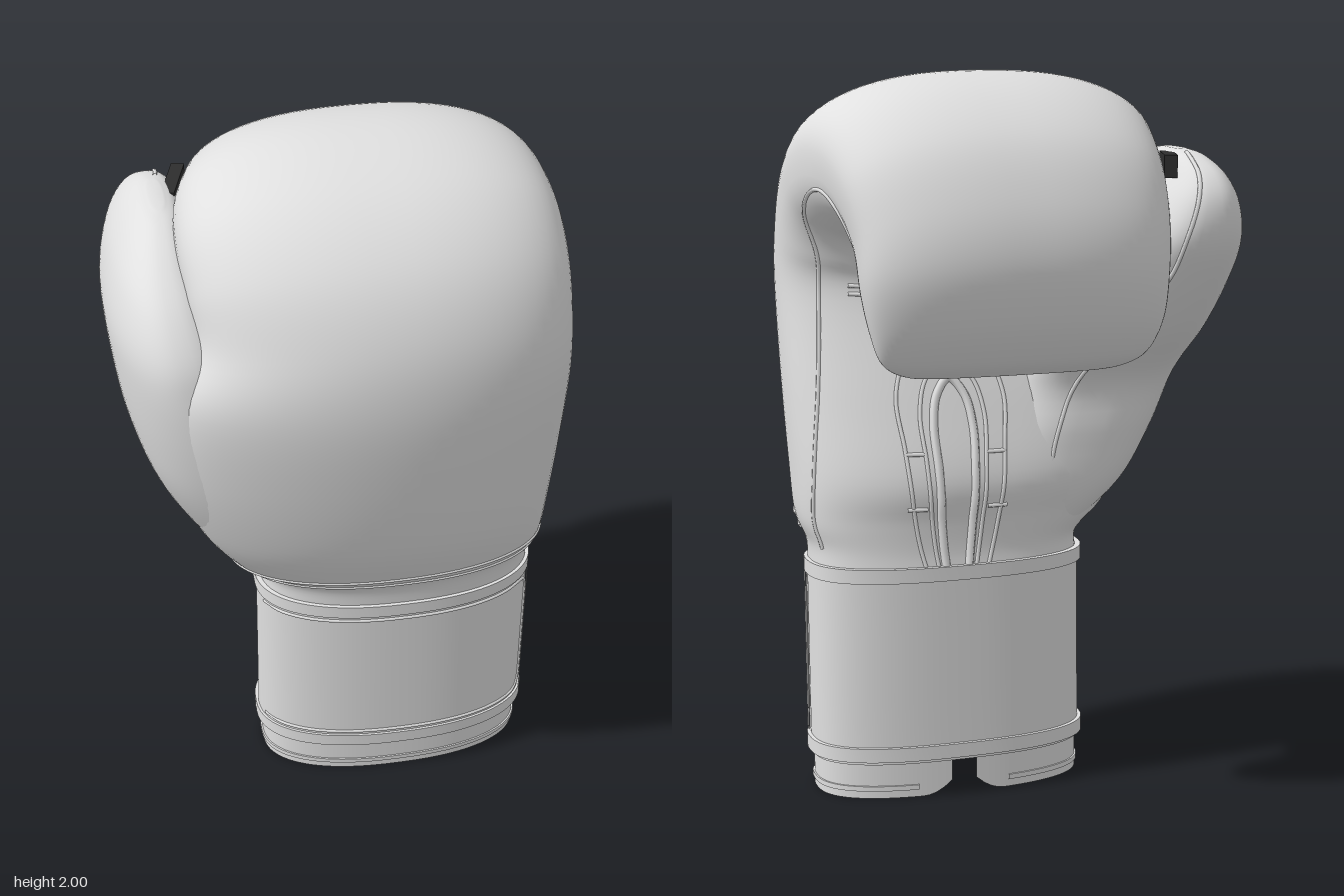
import * as THREE from 'three';
import { toCreasedNormals } from 'three/addons/utils/BufferGeometryUtils.js';

const leather = new THREE.MeshStandardMaterial({ color: 0xe0e0e0, side: THREE.DoubleSide });
leather.name = 'light grey leather';
const dark = new THREE.MeshStandardMaterial({ color: 0x2e2e2e });
dark.name = 'dark webbing';

// Squareness of a section: rounder over the back of the hand, squarer elsewhere
const N_IN = 2.6;
const nOut = s => 2.4 - 1.2 * Math.max(0, s[0] - 0.2);

// A station is [outerZ, outerY, innerZ, innerY, xRightSide, xLeftSide]; t runs 0..1 along the stations
function sampler(st) {
  const a = new THREE.CatmullRomCurve3(st.map(s => new THREE.Vector3(s[0], s[1], s[2])), false, 'catmullrom');
  const b = new THREE.CatmullRomCurve3(st.map(s => new THREE.Vector3(s[3], s[4], s[5])), false, 'catmullrom');
  return t => {
    const p = a.getPoint(t), q = b.getPoint(t);
    return [p.x, p.y, p.z, q.x, q.y, q.z];
  };
}

// Point of a section: u across x, v towards the outer (+) or inner (-) edge
function sectionPoint([oz, oy, iz, iy, xl, xr], u, v) {
  return new THREE.Vector3(
    (xl + xr) / 2 + u * (xr - xl) / 2,
    (oy + iy) / 2 + v * (oy - iy) / 2,
    (oz + iz) / 2 + v * (oz - iz) / 2);
}

// Skin of rounded sections, optionally only over the angles a0..a1
function loft(st, rows, { a0 = 0, a1 = Math.PI * 2, cols = 72, capStart = false, capEnd = false } = {}) {
  const at = sampler(st), pos = [], idx = [], w = cols + 1;
  const closed = a1 - a0 > 6.283;
  for (let i = 0; i <= rows; i++) {
    const s = at(i / rows);
    for (let j = 0; j <= cols; j++) {
      const a = a0 + (a1 - a0) * j / cols, c = Math.cos(a), d = Math.sin(a);
      const e = 2 / (d >= 0 ? nOut(s) : N_IN);
      const p = sectionPoint(s, Math.sign(c) * Math.abs(c) ** e, Math.sign(d) * Math.abs(d) ** e);
      pos.push(p.x, p.y, p.z);
    }
  }
  const id = (i, j) => i * w + (closed ? j % cols : j);
  for (let i = 0; i < rows; i++) for (let j = 0; j < cols; j++) {
    idx.push(id(i, j), id(i + 1, j), id(i + 1, j + 1), id(i, j), id(i + 1, j + 1), id(i, j + 1));
  }
  const cap = (row, flip) => {
    const c = sectionPoint(at(row / rows), 0, 0), k = pos.length / 3;
    pos.push(c.x, c.y, c.z);
    for (let j = 0; j < cols; j++) {
      idx.push(k, ...(flip ? [id(row, j), id(row, j + 1)] : [id(row, j + 1), id(row, j)]));
    }
  };
  if (capStart) cap(0, true);
  if (capEnd) cap(rows, false);
  const g = new THREE.BufferGeometry();
  g.setAttribute('position', new THREE.Float32BufferAttribute(pos, 3));
  g.setIndex(idx);
  g.computeVertexNormals();
  return g;
}

// Wrist sleeve section at height y, enlarged by off
function cuffAt(y, off = 0) {
  const k = y / 0.66;
  return [0.262 + 0.03 * k + off, y, -0.12 - off, y, -0.225 - off, 0.552 + off];
}

const BODY = [
  [0.288, 0.64, -0.115, 0.64, -0.22, 0.55],
  [0.30, 0.72, -0.108, 0.70, -0.225, 0.552],
  [0.345, 0.79, -0.11, 0.78, -0.31, 0.578],
  [0.42, 0.95, -0.12, 0.90, -0.40, 0.585],
  [0.475, 1.20, -0.06, 1.10, -0.47, 0.59],
  [0.50, 1.45, 0.04, 1.38, -0.47, 0.59],
  [0.47, 1.65, 0.03, 1.47, -0.40, 0.59],
  [0.38, 1.82, 0.0, 1.52, -0.405, 0.59],
  [0.22, 1.945, -0.05, 1.535, -0.415, 0.587],
  [0.0, 2.0, -0.09, 1.54, -0.405, 0.575],
  [-0.2, 1.965, -0.13, 1.545, -0.37, 0.555],
  [-0.37, 1.85, -0.165, 1.53, -0.35, 0.535],
  [-0.465, 1.69, -0.185, 1.48, -0.34, 0.515],
  [-0.497, 1.53, -0.20, 1.40, -0.33, 0.505],
  [-0.465, 1.38, -0.215, 1.32, -0.32, 0.48],
  [-0.40, 1.27, -0.235, 1.26, -0.285, 0.445],
  [-0.34, 1.225, -0.255, 1.228, -0.22, 0.38],
  [-0.30, 1.215, -0.285, 1.215, -0.12, 0.28],
];

// Thumb rows: [y, xOuter, xInner, zBack, zFront]
const THUMB = [
  [0.72, -0.20, 0.05, -0.06, 0.20],
  [0.85, -0.35, 0.05, -0.10, 0.28],
  [1.00, -0.45, 0.05, -0.105, 0.34],
  [1.15, -0.52, 0.00, -0.11, 0.37],
  [1.30, -0.57, -0.10, -0.245, 0.375],
  [1.45, -0.595, -0.21, -0.35, 0.36],
  [1.56, -0.60, -0.25, -0.405, 0.33],
  [1.66, -0.575, -0.31, -0.405, 0.25],
  [1.73, -0.535, -0.36, -0.36, 0.14],
  [1.775, -0.49, -0.39, -0.28, 0.02],
  [1.79, -0.455, -0.42, -0.21, -0.07],
].map(([y, xo, xi, zb, zf]) => [zf, y, zb, y, xo, xi]);

const CUFF = [0, 0.22, 0.44, 0.66].map(y => cuffAt(y, 0.004));

export function createModel() {
  const model = new THREE.Group();
  const add = (name, geo, mat = leather) => {
    const m = new THREE.Mesh(geo, mat);
    m.name = name;
    model.add(m);
    return m;
  };

  // Padded hand, curling over into the fist, and the thumb
  add('paddedFist', loft(BODY, 110, { capEnd: true }));
  add('thumb', loft(THUMB, 50, { capStart: true, capEnd: true }));

  // Raised seams lying on a lofted skin: points are [station, u], side +1 outer, -1 inner
  const seam = (name, st, pts, side = -1, r = 0.006) => {
    const at = sampler(st);
    const curve = new THREE.CatmullRomCurve3(pts.map(([s, u]) => {
      const q = at(s / (st.length - 1)), n = side > 0 ? nOut(q) : N_IN;
      return sectionPoint(q, u, side * (1 - Math.abs(u) ** n) ** (1 / n));
    }));
    add(name, new THREE.TubeGeometry(curve, pts.length * 6, r, 6));
  };
  const line = (n, f) => Array.from({ length: n + 1 }, (_, i) => f(i / n));
  const smooth = (pts, n) => new THREE.CatmullRomCurve3(pts.map(([s, u]) => new THREE.Vector3(s, u, 0)))
    .getPoints(n).map(p => [p.x, p.y]);

  // Grip edge seam: up one side, across the finger tips and back down the other
  const edge = smooth([[1, 0.95], [3, 0.93], [5, 0.84], [6, 0.84], [7.5, 0.93],
    [9.5, 0.983], [11.5, 0.95], [13.5, 0.86], [15, 0.78]], 44);
  seam('gripSeam', BODY, [
    ...edge, [15.7, 0.6], [15.9, 0], [15.7, -0.6],
    ...edge.filter(([s]) => s > 6).reverse().map(([s, u]) => [s, -u]),
  ]);
  // Double stitch where the wrist flares into the back of the hand
  for (const s of [1.6, 2]) seam('wristStitch', BODY, line(24, k => [s, -Math.cos(k * Math.PI)]), 1, 0.005);

  // Palm: keyhole lacing opening with its binding, rungs and grip bar, placed by x
  const handAt = sampler(BODY);
  const palmSeam = (name, pts, r) => seam(name, BODY, pts.map(([s, x]) => {
    const q = handAt(s / (BODY.length - 1));
    return [s, (2 * x - q[4] - q[5]) / (q[5] - q[4])];
  }), -1, r);
  const mid = 0.18;
  const arch = (w, top) => [
    ...line(6, k => [0.3 + k * (top - 0.8), mid - w * (0.6 + 0.4 * k)]),
    [top - 0.15, mid - w * 0.7], [top, mid], [top - 0.15, mid + w * 0.7],
    ...line(6, k => [0.3 + (1 - k) * (top - 0.8), mid + w * (1 - 0.4 * k)]),
  ];
  palmSeam('keyholeBinding', arch(0.055, 4.25), 0.012);
  palmSeam('laceInnerSeam', arch(0.09, 4.4));
  palmSeam('laceOuterSeam', arch(0.15, 4.6));
  for (const s of [2.4, 3.4]) for (const m of [-1, 1]) {
    palmSeam('laceRung', line(4, k => [s, mid + m * (0.085 + 0.055 * k)]));
  }
  for (const s of [5.05, 5.2]) palmSeam('gripBar', line(10, k => [s, -0.05 + 0.48 * k]));
  seam('thumbSeam', THUMB, line(20, k => [1 + k * 8.5, 0.35]));

  // Wrist sleeve and its raised bindings
  const cuffPart = (name, st, opts) => add(name, toCreasedNormals(loft(st, st.length - 1, opts), 0.6));
  const band = (name, y0, y1, off, opts, inner = -0.006) => cuffPart(name,
    [cuffAt(y0, inner), cuffAt(y0, off), cuffAt(y1, off), cuffAt(y1, inner)], opts);
  cuffPart('wristSleeve', [cuffAt(0.1), cuffAt(0.28), cuffAt(0.46), cuffAt(0.64)]);
  band('upperBinding', 0.62, 0.66, 0.009);
  band('lowerBinding', 0.11, 0.15, 0.011);

  // Closure strap on the front, ending in a rounded binding on the side
  band('closureStrap', 0.14, 0.63, 0.004, { a0: 0.12, a1: Math.PI, cols: 40 });
  band('strapEndBinding', 0.145, 0.625, 0.009, { a0: 0.1, a1: 0.3, cols: 8 });
  seam('strapStitch', CUFF, [
    ...line(20, k => [2.75, -0.97 + 1.85 * k]), [2.7, 0.935], [2.55, 0.96],
    ...line(6, k => [2.4 - 1.4 * k, 0.962]), [0.86, 0.955], [0.77, 0.93],
    ...line(20, k => [0.74, 0.88 - 1.85 * k]),
  ], 1, 0.005);

  // Lining below the sleeve, split at the back with rounded corners
  const gap = 0.045, back = Math.PI * 1.5;
  const lining = loft([0, 0.02, 0.05, 0.085, 0.125, 0.64].map(y => cuffAt(y, -0.008)), 5,
    { a0: back + gap - Math.PI * 2, a1: back - gap, cols: 140 });
  const p = lining.attributes.position;
  for (let i = 0; i < p.count; i++) {
    const near = p.getZ(i) < 0 ? Math.max(0, 1 - Math.abs(p.getX(i) - 0.1635) / 0.12) : 0;
    p.setY(i, p.getY(i) + 0.08 * near ** 2 * Math.max(0, 1 - p.getY(i) / 0.125));
  }
  lining.computeVertexNormals();
  add('cuffLining', lining);
  band('hemBinding', 0.022, 0.036, -0.003, { a0: back + 0.25 - Math.PI * 2, a1: back - 0.25 }, -0.008);

  // Dark webbing joining the thumb to the fist
  const strap = add('thumbWebbing', new THREE.BoxGeometry(0.035, 0.06, 0.155), dark);
  strap.position.set(-0.382, 1.752, -0.225);
  strap.rotation.y = -0.3;

  return model;
}
